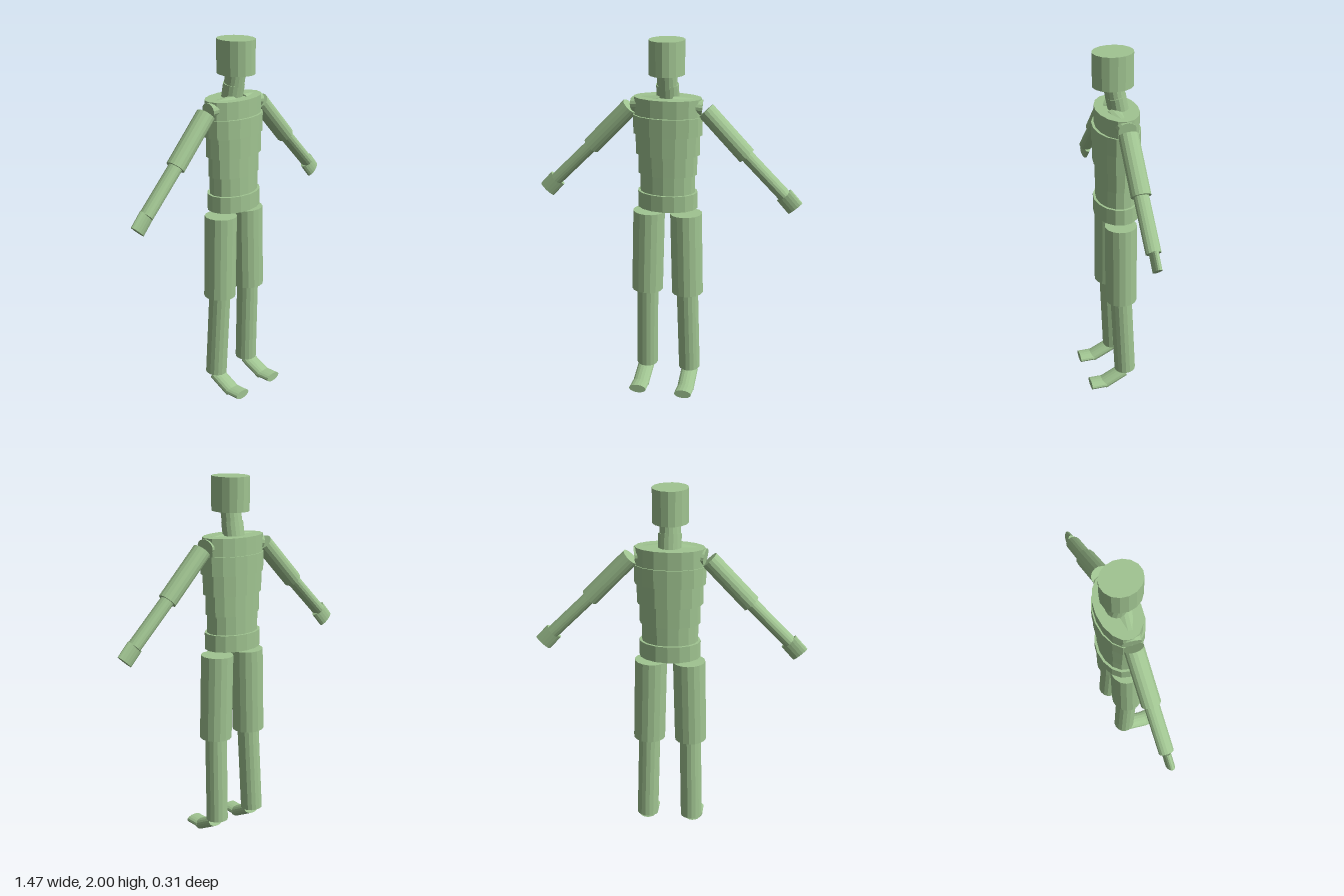
import * as THREE from 'three';

const SIDES = 16;
const UP = new THREE.Vector3(0, 1, 0);

export function createModel() {
  const figure = new THREE.Group();
  figure.name = 'figure';
  const green = new THREE.MeshStandardMaterial({ color: 0xa0c491, flatShading: true });
  green.name = 'softGreen';

  // Elliptical cylinder running from one joint to the next
  function segment(name, from, to, rx, rz, parent = figure) {
    const a = new THREE.Vector3(...from);
    const b = new THREE.Vector3(...to);
    const axis = b.clone().sub(a);
    const length = axis.length();
    const geometry = new THREE.CylinderGeometry(1, 1, 1, SIDES);
    geometry.scale(rx, length, rz);
    const mesh = new THREE.Mesh(geometry, green);
    mesh.name = name;
    mesh.position.copy(a).add(b).multiplyScalar(0.5);
    mesh.quaternion.setFromUnitVectors(UP, axis.normalize());
    parent.add(mesh);
  }

  // Head and neck
  segment('head', [0, 1.82, -0.013], [0, 2, -0.013], 0.095, 0.108);
  segment('upperNeck', [0, 1.75, -0.028], [0, 1.83, -0.014], 0.055, 0.053);
  segment('lowerNeck', [0, 1.67, -0.045], [0, 1.765, -0.027], 0.061, 0.054);

  // Stacked torso sections: name, bottom, top, half width, half depth, z centre
  const torso = [
    ['hips', 1.09, 1.18, 0.166, 0.121, -0.031],
    ['waist', 1.18, 1.28, 0.152, 0.108, -0.031],
    ['belly', 1.28, 1.39, 0.163, 0.109, -0.031],
    ['ribs', 1.39, 1.5, 0.177, 0.12, -0.03],
    ['chest', 1.5, 1.6, 0.19, 0.123, -0.03],
    ['upperChest', 1.6, 1.695, 0.185, 0.112, -0.033],
  ];
  for (const [name, y0, y1, rx, rz, z] of torso) {
    segment(name, [0, y0, z], [0, y1, z], rx, rz);
  }

  // Mirrored limbs
  for (const [side, s] of [['left', 1], ['right', -1]]) {
    const arm = new THREE.Group();
    arm.name = side + 'Arm';
    segment('collarbone', [s * 0.03, 1.665, -0.01], [s * 0.186, 1.648, -0.036], 0.042, 0.052, arm);
    segment('upperArm', [s * 0.206, 1.633, -0.034], [s * 0.429, 1.402, -0.034], 0.049, 0.052, arm);
    segment('forearm', [s * 0.42, 1.412, -0.034], [s * 0.637, 1.197, -0.034], 0.035, 0.04, arm);
    segment('hand', [s * 0.633, 1.2, -0.036], [s * 0.697, 1.13, -0.036], 0.049, 0.022, arm);

    const leg = new THREE.Group();
    leg.name = side + 'Leg';
    segment('thigh', [s * 0.104, 1.057, -0.029], [s * 0.116, 0.59, -0.029], 0.088, 0.087, leg);
    segment('shin', [s * 0.115, 0.595, -0.03], [s * 0.126, 0.106, -0.052], 0.06, 0.06, leg);
    segment('foot', [s * 0.13, 0.092, -0.043], [s * 0.132, 0.028, 0.08], 0.048, 0.031, leg);
    segment('toes', [s * 0.132, 0.033, 0.07], [s * 0.132, 0.033, 0.157], 0.049, 0.024, leg);

    figure.add(arm, leg);
  }
  return figure;
}
